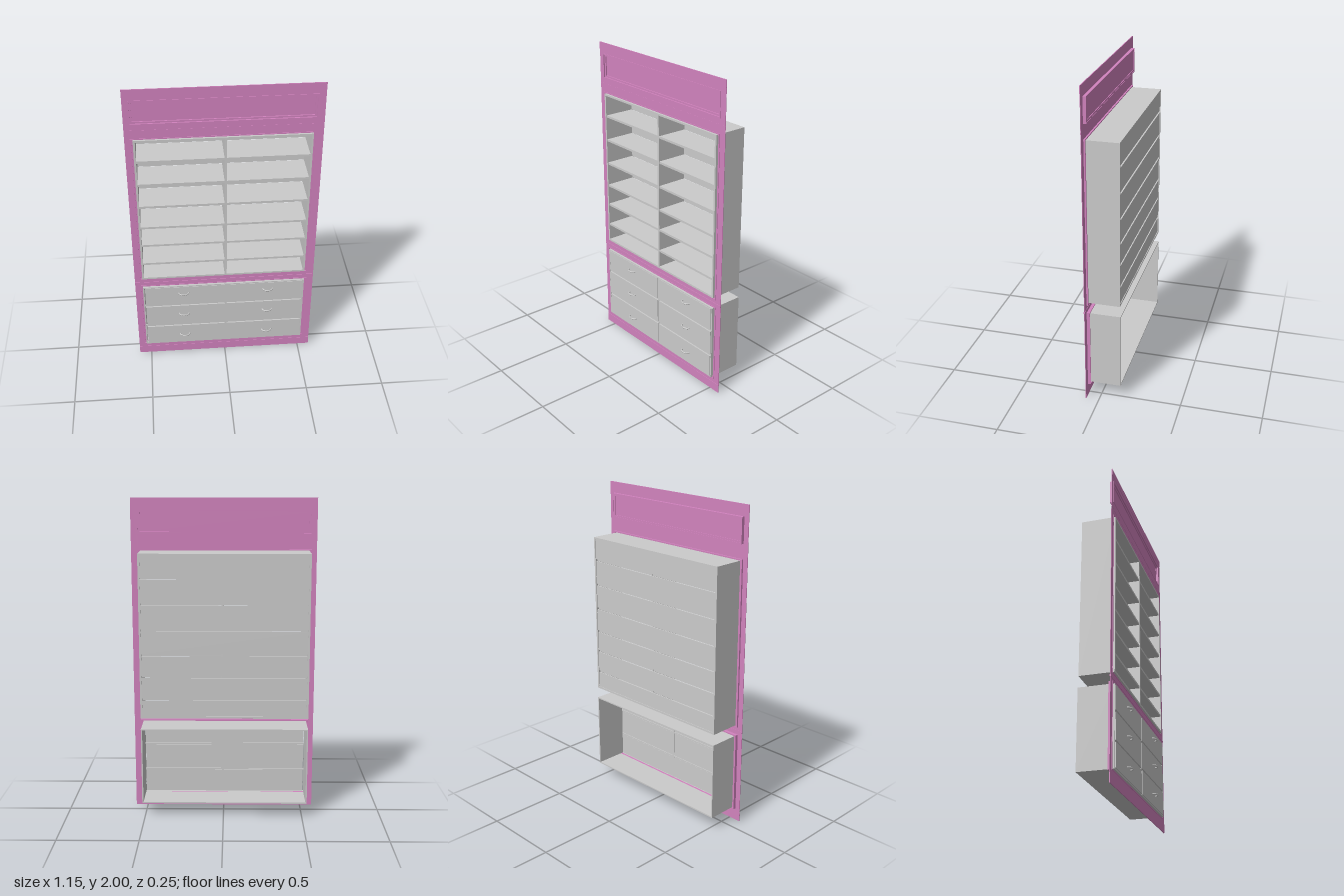
import * as THREE from 'three';

const grey = new THREE.MeshStandardMaterial({ color: 0xcccccc, side: THREE.DoubleSide });
const purple = new THREE.MeshStandardMaterial({ color: 0xd283be, side: THREE.DoubleSide });

// Box given by its limits on each axis
function slab(parent, name, mat, x0, x1, y0, y1, z0, z1) {
  const mesh = new THREE.Mesh(new THREE.BoxGeometry(x1 - x0, y1 - y0, z1 - z0), mat);
  mesh.position.set((x0 + x1) / 2, (y0 + y1) / 2, (z0 + z1) / 2);
  mesh.name = name;
  parent.add(mesh);
  return mesh;
}

function trace(path, [x0, x1, y0, y1]) {
  path.moveTo(x0, y0);
  path.lineTo(x1, y0);
  path.lineTo(x1, y1);
  path.lineTo(x0, y1);
  path.closePath();
  return path;
}

// Rectangular plate with rectangular openings
function plate(parent, name, outer, holes, z0, z1) {
  const shape = trace(new THREE.Shape(), outer);
  shape.holes = holes.map(h => trace(new THREE.Path(), h));
  const geo = new THREE.ExtrudeGeometry(shape, { depth: z1 - z0, bevelEnabled: false });
  const mesh = new THREE.Mesh(geo, purple);
  mesh.position.z = z0;
  mesh.name = name;
  parent.add(mesh);
}

const inset = ([x0, x1, y0, y1], d) => [x0 + d, x1 - d, y0 + d, y1 - d];

// Four thin walls, open at front and back
function shell(parent, name, x0, x1, y0, y1, z0, z1, t) {
  slab(parent, name + 'RightSide', grey, x0, x0 + t, y0, y1, z0, z1);
  slab(parent, name + 'LeftSide', grey, x1 - t, x1, y0, y1, z0, z1);
  slab(parent, name + 'Bottom', grey, x0 + t, x1 - t, y0, y0 + t, z0, z1);
  slab(parent, name + 'Top', grey, x0 + t, x1 - t, y1 - t, y1, z0, z1);
}

export function createModel() {
  const model = new THREE.Group();
  model.name = 'builtInCabinet';

  // Wall face with three openings
  const X0 = -0.578, X1 = 0.576;
  const header = [-0.545, 0.535, 1.775, 1.93];
  const upper = [-0.545, 0.535, 0.64, 1.685];
  const lower = [-0.545, 0.535, 0.08, 0.59];
  const face = new THREE.Group();
  face.name = 'faceFrame';
  model.add(face);
  plate(face, 'facePlate', [X0, X1, 0, 2], [header, upper, lower], 0.079, 0.082);

  // Thin applied bands
  slab(face, 'baseBand', purple, X0, X1, 0, 0.055, 0.082, 0.084);
  slab(face, 'corniceBand', purple, X0, X1, 1.955, 2, 0.082, 0.084);
  slab(face, 'friezeBand', purple, X0, X1, 1.725, 1.74, 0.082, 0.083);
  slab(face, 'waistMoulding', purple, X0, X1, 0.606, 0.618, 0.077, 0.085);

  // Stepped mouldings lining the openings
  plate(face, 'upperMoulding', upper, [inset(upper, 0.006)], 0.069, 0.085);
  plate(face, 'upperInnerMoulding', inset(upper, 0.006), [inset(upper, 0.016)], 0.071, 0.079);
  plate(face, 'lowerMoulding', lower, [inset(lower, 0.006)], 0.06, 0.085);
  plate(face, 'lowerInnerMoulding', inset(lower, 0.006), [inset(lower, 0.016)], 0.064, 0.078);
  plate(face, 'headerMoulding', header, [inset(header, 0.006)], 0.06, 0.085);
  plate(face, 'headerInnerMoulding', inset(header, 0.006), [inset(header, 0.017)], 0.062, 0.077);
  const hp = inset(header, 0.017);
  slab(face, 'headerPanel', purple, hp[0], hp[1], hp[2], hp[3], 0.066, 0.07);

  // Upper bookcase
  const bx0 = -0.53, bx1 = 0.517, t = 0.012, mid = 0.005;
  const bookcase = new THREE.Group();
  bookcase.name = 'bookcase';
  model.add(bookcase);
  shell(bookcase, 'bookcase', bx0, bx1, 0.65, 1.676, -0.122, 0.092, t);
  slab(bookcase, 'divider', grey, mid - 0.007, mid + 0.007, 0.662, 1.664, -0.11, 0.091);

  // Shelves, with separate back panels between them
  const shelves = [0.771, 0.915, 1.052, 1.207, 1.367, 1.528];
  const bays = [[bx0 + t, mid - 0.007], [mid + 0.007, bx1 - t]];
  for (const [a, b] of bays) {
    for (const y of shelves) slab(bookcase, 'shelf', grey, a, b, y - 0.007, y + 0.007, -0.108, 0.088);
  }
  const edges = [0.655, ...shelves, 1.671];
  for (let i = 0; i < edges.length - 1; i++) {
    slab(bookcase, 'backPanel', grey, bx0 + t, bx1 - t, edges[i] + 0.007, edges[i + 1] - 0.007, -0.118, -0.11);
  }

  // Lower drawer case, open at the back
  const chest = new THREE.Group();
  chest.name = 'drawerCase';
  model.add(chest);
  shell(chest, 'drawerCase', bx0, bx1, 0.088, 0.58, -0.125, 0.094, 0.008);
  slab(chest, 'centreStile', grey, mid - 0.006, mid + 0.006, 0.096, 0.572, 0.08, 0.092);

  // Drawer fronts with half-ring pulls
  const rows = [[0.097, 0.24, 0.166], [0.254, 0.414, 0.348], [0.429, 0.573, 0.523]];
  const columns = [[-0.517, -0.001, -0.268], [0.011, 0.507, 0.28]];
  for (const [y0, y1] of rows.slice(0, 2).map((r, i) => [r[1], rows[i + 1][0]])) {
    slab(chest, 'rail', grey, -0.522, 0.509, y0 + 0.002, y1 - 0.002, 0.08, 0.09);
  }
  for (const [y0, y1, hy] of rows) {
    for (const [x0, x1, hx] of columns) {
      slab(chest, 'drawerFront', grey, x0, x1, y0, y1, 0.082, 0.097);
      const pull = new THREE.Mesh(new THREE.TorusGeometry(0.031, 0.005, 8, 20, Math.PI), grey);
      pull.name = 'drawerPull';
      pull.rotation.x = Math.PI / 2;
      pull.scale.y = 0.72;
      pull.position.set(hx, hy, 0.097);
      chest.add(pull);
    }
  }
  return model;
}
